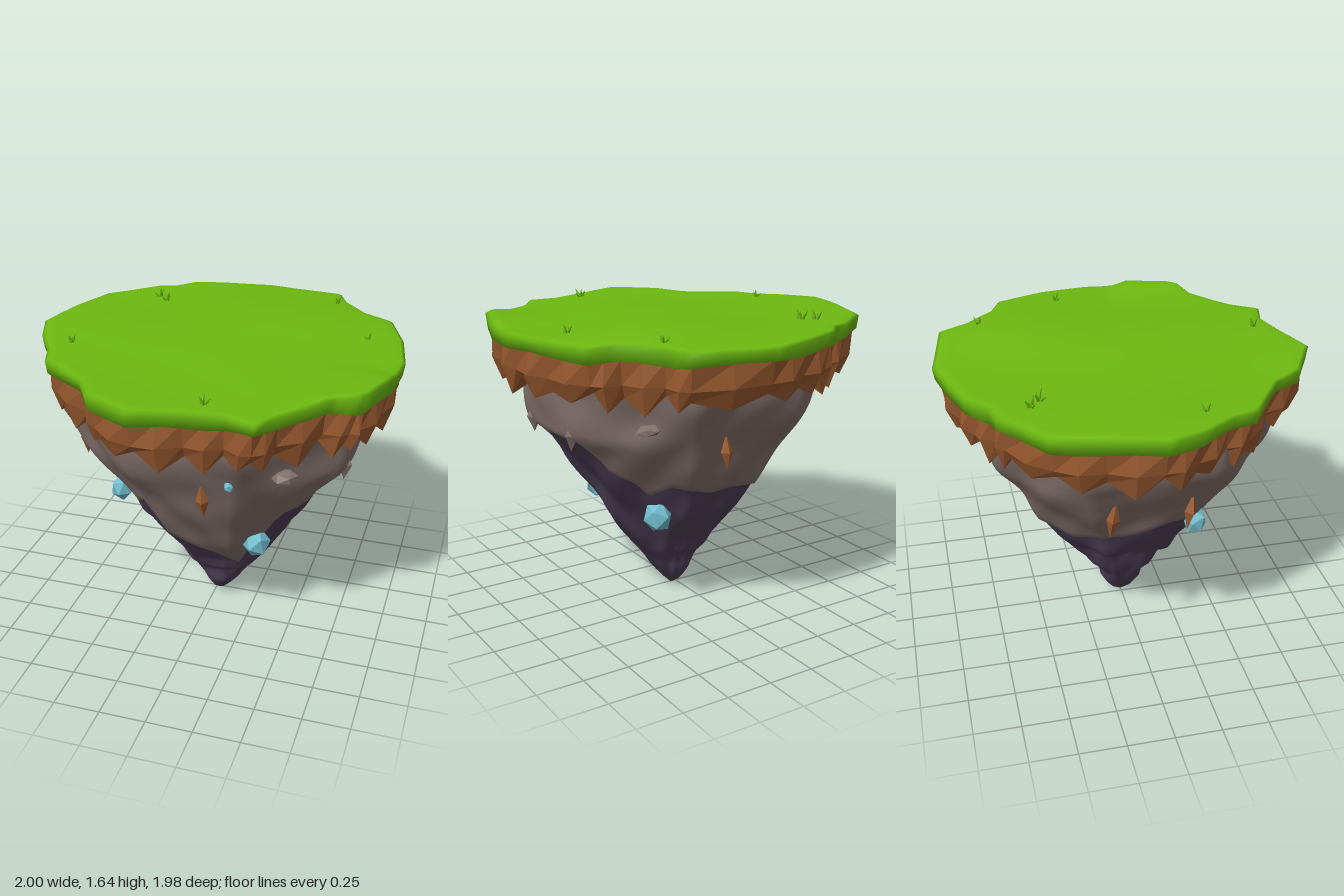
import * as THREE from 'three';

const mat = (name, color, flatShading = false) => {
  const m = new THREE.MeshStandardMaterial({ color, flatShading });
  m.name = name;
  return m;
};
const V = (x, y, z) => new THREE.Vector3(x, y, z);

// Skin over closed rings, ordered from the underside outward and up
function loft(rings) {
  const n = rings[0].length, pos = [], idx = [];
  for (const ring of rings) for (const p of ring) pos.push(p.x, p.y, p.z);
  for (let i = 0; i < rings.length - 1; i++) {
    for (let j = 0; j < n; j++) {
      const a = i * n + j, c = i * n + (j + 1) % n, b = a + n, d = c + n;
      idx.push(a, b, c, b, d, c);
    }
  }
  const g = new THREE.BufferGeometry();
  g.setAttribute('position', new THREE.Float32BufferAttribute(pos, 3));
  g.setIndex(idx);
  g.computeVertexNormals();
  return g;
}

// Piecewise-linear lookup in [key, value] pairs
function lookup(table, k) {
  for (let i = 1; i < table.length; i++) {
    const [k0, v0] = table[i - 1], [k1, v1] = table[i];
    if (k <= k1) return v0 + (v1 - v0) * Math.max(0, (k - k0) / (k1 - k0));
  }
  return table[table.length - 1][1];
}

// Island outline seen from above (x, z)
const OUTLINE = [
  [0.05, -0.99], [0.49, -0.92], [0.55, -0.78], [0.70, -0.61], [0.85, -0.55], [0.95, -0.28], [1, 0],
  [0.98, 0.25], [0.90, 0.49], [0.86, 0.54], [0.73, 0.58], [0.54, 0.78], [0.45, 0.92], [0.30, 0.88],
  [0.10, 0.92], [-0.15, 0.99], [-0.40, 0.85], [-0.50, 0.69], [-0.77, 0.50], [-0.82, 0.36], [-0.93, 0.19],
  [-1, 0], [-0.93, -0.28], [-0.85, -0.53], [-0.59, -0.74], [-0.49, -0.77], [-0.39, -0.87], [-0.20, -0.93],
];
function rim(steps) {
  const out = [];
  OUTLINE.forEach(([x, z], i) => {
    const [x2, z2] = OUTLINE[(i + 1) % OUTLINE.length];
    for (let s = 0; s < steps; s++) out.push([x + (x2 - x) * s / steps, z + (z2 - z) * s / steps]);
  });
  return out;
}

// Gently rolling lawn height
const lawnY = (x, z) => 1.585
  + 0.035 * Math.exp(-((x - 0.2) ** 2 + (z + 0.3) ** 2) / 0.2)
  + 0.007 * Math.sin(5 * x + 2 * z) + 0.005 * Math.sin(7 * z - 3 * x)
  + 0.03 * THREE.MathUtils.smoothstep(x, 0.55, 0.95) * THREE.MathUtils.smoothstep(z, 0.14, 0.24);

// Rock silhouettes: [height, radius] toward +x, -x and both z sides
const RIGHT = [[0, 0], [0.04, 0.04], [0.13, 0.12], [0.3, 0.25], [0.38, 0.31], [0.72, 0.51], [0.95, 0.67],
  [1.05, 0.76], [1.25, 0.79], [1.45, 0.82]];
const LEFT = [[0, 0], [0.04, 0.04], [0.17, 0.13], [0.33, 0.22], [0.46, 0.27], [0.55, 0.42], [0.6, 0.45],
  [0.88, 0.6], [1.1, 0.75], [1.25, 0.82], [1.45, 0.84]];
const SIDE = [[0, 0], [0.04, 0.06], [0.12, 0.12], [0.22, 0.14], [0.26, 0.2], [0.35, 0.24], [0.57, 0.41],
  [0.85, 0.58], [1.1, 0.71], [1.25, 0.76], [1.45, 0.8]];
// Height where light rock meets dark rock, by angle from +x toward +z
const SEAM = [[0, 1.04], [21, 1.04], [27, 0.86], [38, 0.8], [46, 0.55], [51, 0.33], [75, 0.44], [96, 0.54],
  [110, 0.62], [113, 0.88], [126, 0.8], [140, 0.87], [165, 0.86], [185, 0.8], [205, 0.73], [225, 0.67],
  [245, 0.72], [280, 0.73], [302, 0.78], [316, 0.71], [322, 0.8], [333, 0.87], [339, 1.04], [360, 1.04]];

function rockPoint(deg, y, offset = 0) {
  const t = THREE.MathUtils.degToRad(deg), c = Math.cos(t), s = Math.sin(t);
  let r = c * c * lookup(c > 0 ? RIGHT : LEFT, y) + s * s * lookup(SIDE, y);
  // chiselled eight-sided section, plus lumps that are the same front and back
  const facet = ((deg + 22.5) % 45) - 22.5;
  r *= 0.985 + 0.7 * (1 / Math.cos(THREE.MathUtils.degToRad(facet)) - 1);
  const lump = Math.sin(9 * y + 3 * c + 1) * Math.cos(5 * t) + 0.7 * Math.sin(17 * y + 5 * c) * Math.cos(8 * t);
  r += 0.016 * Math.min(1, y * 2) * lump;
  r = Math.max(0, r + offset * Math.min(1, y * 3));
  return V(0.03 * (1 - y / 3) + r * c, y, r * s);
}

export function createModel() {
  const root = new THREE.Group();
  const grass = mat('grass green', 0x6cb910), dirt = mat('dirt brown', 0x98592f, true);
  const rock = mat('light rock', 0x81706b), dark = mat('dark rock', 0x4d4056);
  const crystalMat = mat('crystal blue', 0x70bccc, true);
  const shardDirt = dirt, stone = mat('loose stone', 0x81706b, true);
  const add = (name, geometry, material, parent = root) => {
    const m = new THREE.Mesh(geometry, material);
    m.name = name;
    parent.add(m);
    return m;
  };

  // Grass slab: underside, rounded rim, rolling top
  const edge = rim(3);
  const flatRing = (k, y) => edge.map(([x, z]) => V(x * k, y, z * k));
  const topRing = (k, drop = 0) => edge.map(([x, z]) => V(x * k, lawnY(x * k, z * k) - drop, z * k));
  const lip = edge.map(([x, z], i) => V(x * 0.99, 1.507 + 0.007 * Math.sin(i * 0.9), z * 0.99));
  add('lawn', loft([flatRing(0, 1.53), flatRing(0.95, 1.515), lip, topRing(1, 0.012),
    ...[0.98, 0.92, 0.82, 0.7, 0.57, 0.44, 0.3, 0.15, 0].map(k => topRing(k))]), grass);

  // Dirt skirt with a jagged lower edge
  const teeth = rim(2);
  const tipY = i => (i % 2 ? 1.26 + 0.025 * Math.sin(i * 2.3) : 1.335 + 0.02 * Math.sin(i * 1.7));
  const skirt = (k, f) => teeth.map(([x, z], i) => V(x * k, f(i), z * k));
  add('dirtSkirt', loft([
    skirt(0.74, () => 1.42), skirt(0.86, i => tipY(i) + 0.04),
    teeth.map(([x, z], i) => { const k = i % 2 ? 0.935 : 0.915; return V(x * k, tipY(i), z * k); }),
    teeth.map(([x, z], i) => { const k = i % 2 ? 0.985 : 0.95; return V(x * k, 1.39, z * k); }),
    skirt(0.97, () => 1.515),
  ]), dirt);

  // Rock cone in two colours, the light shell slightly overhanging the dark core
  const angles = Array.from({ length: 144 }, (_, i) => i * 2.5);
  const ring = (f, offset) => angles.map(a => rockPoint(a, f(lookup(SEAM, a)), offset));
  const lower = [], upper = [ring(s => s + 0.01, -0.03)];
  for (let i = 0; i <= 24; i++) lower.push(ring(s => 0.005 + (s + 0.03) * i / 24, -0.004));
  for (let i = 0; i <= 20; i++) upper.push(ring(s => s + (1.45 - s) * i / 20, 0.014));
  add('darkRockCore', loft(lower), dark);
  add('lightRockShell', loft(upper), rock);

  // Crystals, loose stones and dirt shards stuck in the rock
  const chunk = (name, p, size, material, tilt = 0, detail = 0) => {
    const g = detail ? new THREE.IcosahedronGeometry(1, 0) : new THREE.OctahedronGeometry(1, 0);
    const m = add(name, g, material);
    m.position.set(...p);
    m.scale.set(...size);
    m.rotation.set(0, Math.atan2(p[0], p[2]), tilt);
  };
  for (const s of [1, -1]) {
    chunk('crystal', [0.32, 0.575, s * 0.33], [0.08, 0.088, 0.08], crystalMat, 0.2, 1);
    chunk('dirtShard', [0.13, 1.0, s * 0.69], [0.035, 0.095, 0.035], shardDirt, 0.08);
    chunk('dirtShard', [-0.7, 1.0, s * 0.2], [0.035, 0.11, 0.035], shardDirt, -0.15);
    chunk('flatStone', [0.52, 1.145, s * 0.58], [0.07, 0.03, 0.07], stone, 0.15, 1);
    chunk('tallStone', [0.76, 1.07, s * 0.22], [0.045, 0.09, 0.04], stone, -0.08);
  }
  chunk('crystal', [-0.46, 0.77, 0.3], [0.065, 0.08, 0.065], crystalMat, -0.3, 1);
  chunk('smallCrystal', [0.27, 1.11, 0.7], [0.025, 0.03, 0.03], crystalMat, 0.3, 1);

  // Grass tufts: a few leaning blades each
  const blade = new THREE.ConeGeometry(0.017, 0.07, 4);
  blade.scale(1, 1, 0.6);
  blade.translate(0, 0.03, 0);
  const tufts = [[-0.52, -0.56, 4, 1], [-0.46, -0.51, 4, 1.05], [0.51, -0.7, 4, 0.85], [0.77, -0.22, 4, 0.85],
    [0.17, 0.79, 5, 1], [-0.73, 0.25, 4, 0.85]];
  for (const [x, z, count, size] of tufts) {
    const tuft = new THREE.Group();
    tuft.name = 'grassTuft';
    tuft.position.set(x, lawnY(x, z) - 0.005, z);
    for (let i = 0; i < count; i++) {
      const b = add('blade', blade, grass, tuft);
      b.rotation.set(0, i * 6.28 / count + x * 5, 0.35 + 0.25 * (i % 3), 'YXZ');
      b.scale.setScalar(size * (0.8 + 0.2 * (i % 2)));
    }
    root.add(tuft);
  }
  return root;
}
